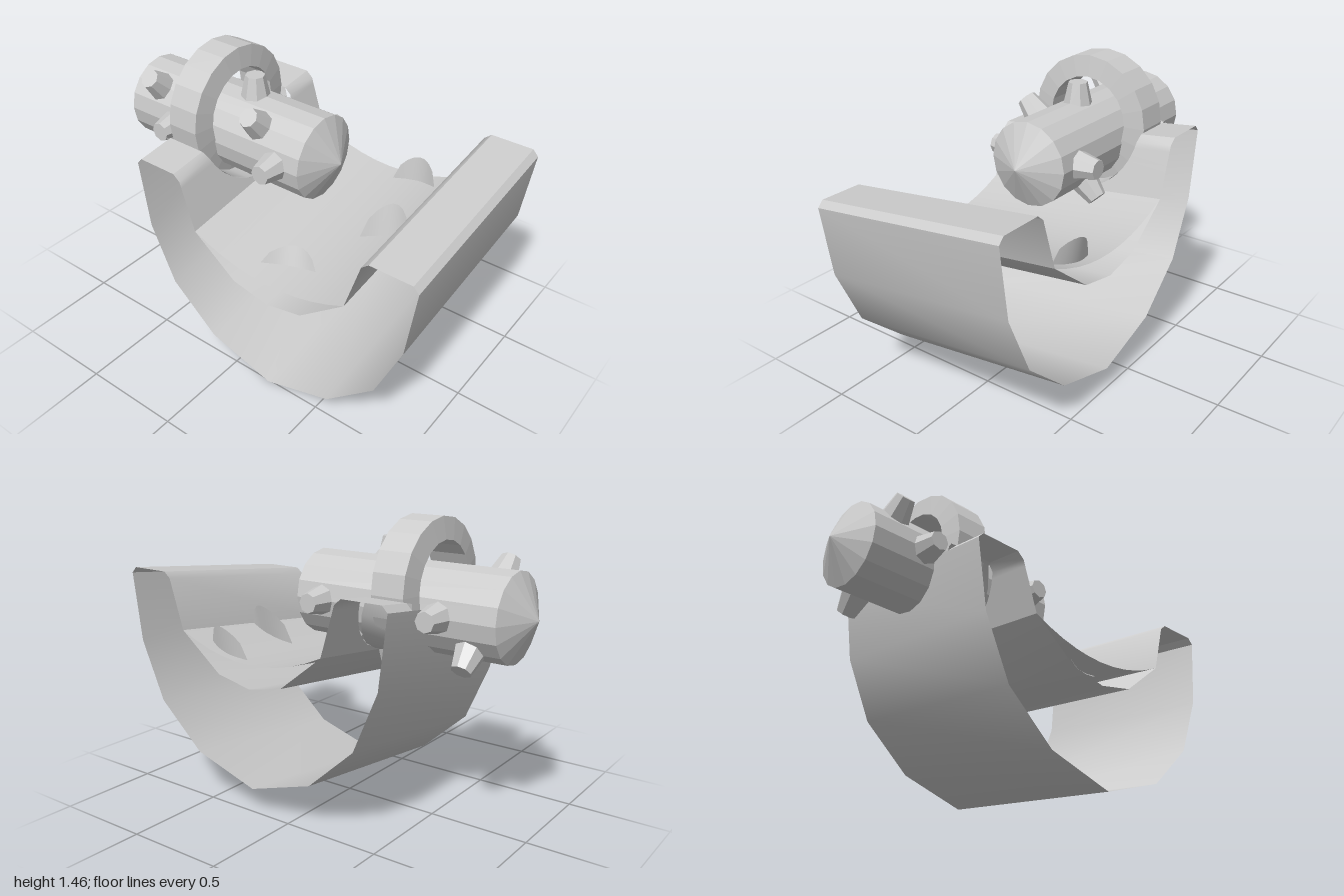
import * as THREE from 'three';
import { toCreasedNormals } from 'three/addons/utils/BufferGeometryUtils.js';

const material = new THREE.MeshStandardMaterial({ color: 0xcccccc, side: THREE.DoubleSide });
const flat = new THREE.MeshStandardMaterial({ color: 0xcccccc, side: THREE.DoubleSide, flatShading: true });
const MID = 0.215, HALF = 0.51;              // trough centre line and half length
const RING_Y = 1.135, RING_R = 0.325, RING_X = -0.435;
const AXLE_Y = 1.045;

// The trough climbs steadily towards the back
const rise = z => (HALF - z) * 0.1235;

function add(parent, name, geometry, mat = material) {
  const mesh = new THREE.Mesh(geometry, mat);
  mesh.name = name;
  parent.add(mesh);
  return mesh;
}

// Skin joining rows of equally many [x, y, z] points
function skin(rows, crease = 0.7) {
  const n = rows[0].length, index = [];
  for (let r = 0; r < rows.length - 1; r++) {
    for (let i = 0; i < n - 1; i++) {
      const a = r * n + i, b = a + n;
      index.push(a, a + 1, b, a + 1, b + 1, b);
    }
  }
  const g = new THREE.BufferGeometry();
  g.setAttribute('position', new THREE.Float32BufferAttribute(rows.flat(2), 3));
  g.setIndex(index);
  return toCreasedNormals(g, crease);
}

const place = (profile, z) => profile.map(([x, y]) => [x, y + rise(z), z]);
const sweep = profile => skin([place(profile, HALF), place(profile, -HALF)]);
const mirror = profile => profile.map(([x, y]) => [2 * MID - x, y]);

// Linear lookup of x against height along a sloping wall
const xAt = (y, y0, x0, y1, x1) =>
  THREE.MathUtils.lerp(x0, x1, THREE.MathUtils.clamp((y - y0) / (y1 - y0), 0, 1));

// Sagging inner sheet
const sheetY = x => 0.635 + 0.105 * ((x - MID) / 0.43) ** 2;

function spike(parent, x, angle) {
  const pivot = new THREE.Group();
  pivot.name = 'spike';
  pivot.position.set(x, AXLE_Y, 0);
  pivot.rotation.x = angle;
  const g = new THREE.CylinderGeometry(0.048, 0.076, 0.125, 8);
  g.translate(0, 0.243, 0);
  add(pivot, 'spikeStud', g, flat);
  parent.add(pivot);
}

// Curved leaf standing on the sheet and leaning backwards
function fin(parent, [x0, z0], [x1, z1], height, baseBow, topBow) {
  const base = [], middle = [], top = [];
  for (let i = 0; i <= 8; i++) {
    const t = i / 8, s = Math.sin(Math.PI * t);
    const x = x0 + (x1 - x0) * t, z = z0 + (z1 - z0) * t;
    const zb = z - baseBow * s, zt = z - topBow * s;
    const y = sheetY(x) + rise(zb) - 0.005, h = height * Math.sqrt(Math.max(s, 0));
    base.push([x, y, zb]);
    middle.push([x, y + h / 2, (zb + zt) / 2]);
    top.push([x, y + h, zt]);
  }
  add(parent, 'fin', skin([base, middle, top]));
}

export function createModel() {
  const model = new THREE.Group();
  model.name = 'spikedAxleOnTrough';

  // Hollow trough: outer bowl, right-hand rim and inner bed
  const outer = [[MID, 0.005], [0.57, 0.115], [0.82, 0.34], [0.95, 0.64], [0.995, 0.99]];
  const rim = [[0.995, 0.99], [0.967, 1.02], [0.757, 1.02], [0.722, 0.99], [0.645, 0.74]];
  const bed = [[0.645, 0.74], [0.41, 0.555], [MID, 0.515]];
  add(model, 'outerBowl', sweep([...mirror(outer).reverse(), ...outer.slice(1)]));
  add(model, 'plainRim', sweep(rim));
  add(model, 'innerBed', sweep([...bed, ...mirror(bed).reverse().slice(1)]));

  const sheet = [];
  for (let i = 0; i <= 10; i++) {
    const x = -0.215 + 0.086 * i;
    sheet.push([x, sheetY(x)]);
  }
  add(model, 'saggingSheet', sweep(sheet));

  // Notched rim, interrupted where the ring sits
  const notched = mirror(rim.slice(0, 4));
  for (let i = 1; i <= 8; i++) {
    const t = i / 8;
    notched.push([-0.292 + 0.077 * t, 0.99 - 0.25 * t]);
  }
  for (const side of [1, -1]) {
    const inner = notched.map(([x, y]) => {
      let z = 0;
      for (let k = 0; k < 10; k++) {
        const d = y + rise(z) - RING_Y;
        z = side * Math.sqrt(Math.max(RING_R ** 2 - d * d, 0));
      }
      return [x, y + rise(z), z];
    });
    add(model, 'notchedRim', skin([place(notched, side * HALF), inner]));
  }

  // Rounded pocket closing the notch below the ring
  const left = [], right = [];
  for (let i = 0; i <= 10; i++) {
    const a = Math.PI * (1 + i / 10);
    const z = RING_R * Math.cos(a);
    const y = Math.min(RING_Y + RING_R * Math.sin(a), 1.02 + rise(z));
    const local = y - rise(z);
    left.push([xAt(local, 0.64, -0.52, 0.99, -0.565), y, z]);
    right.push([xAt(local, 0.74, -0.215, 1.02, -0.327), y, z]);
  }
  add(model, 'ringPocket', skin([left, right]));

  // Fins on the sheet
  fin(model, [0.105, 0.42], [0.37, 0.335], 0.1, 0.02, 0.065);
  fin(model, [0.405, 0.04], [0.647, 0.0], 0.165, 0.02, 0.065);
  fin(model, [0.287, -0.435], [0.54, -0.415], 0.135, 0.03, 0.05);

  // Ring, narrower on its outside
  const section = [[0.22, -0.1], [RING_R, -0.083], [RING_R, 0.083], [0.22, 0.1], [0.22, -0.1]]
    .map(p => new THREE.Vector2(...p));
  const ring = add(model, 'ring', new THREE.LatheGeometry(section, 20), flat);
  ring.rotation.z = -Math.PI / 2;
  ring.position.set(RING_X, RING_Y, 0);

  // Axle with pointed ends
  const axleProfile = [[0, -1], [0.21, -0.9], [0.21, 0.16], [0, 0.26]]
    .map(p => new THREE.Vector2(...p));
  const axle = add(model, 'axle', new THREE.LatheGeometry(axleProfile, 16), flat);
  axle.rotation.z = -Math.PI / 2;
  axle.position.y = AXLE_Y;

  // Opposed pairs of spikes
  const pairs = [[-0.75, 0.25], [-0.615, 0.5], [-0.25, 0], [-0.115, 0.25], [0.02, 0.5]];
  for (const [x, turn] of pairs) {
    spike(model, x, turn * Math.PI);
    spike(model, x, (turn + 1) * Math.PI);
  }
  return model;
}
